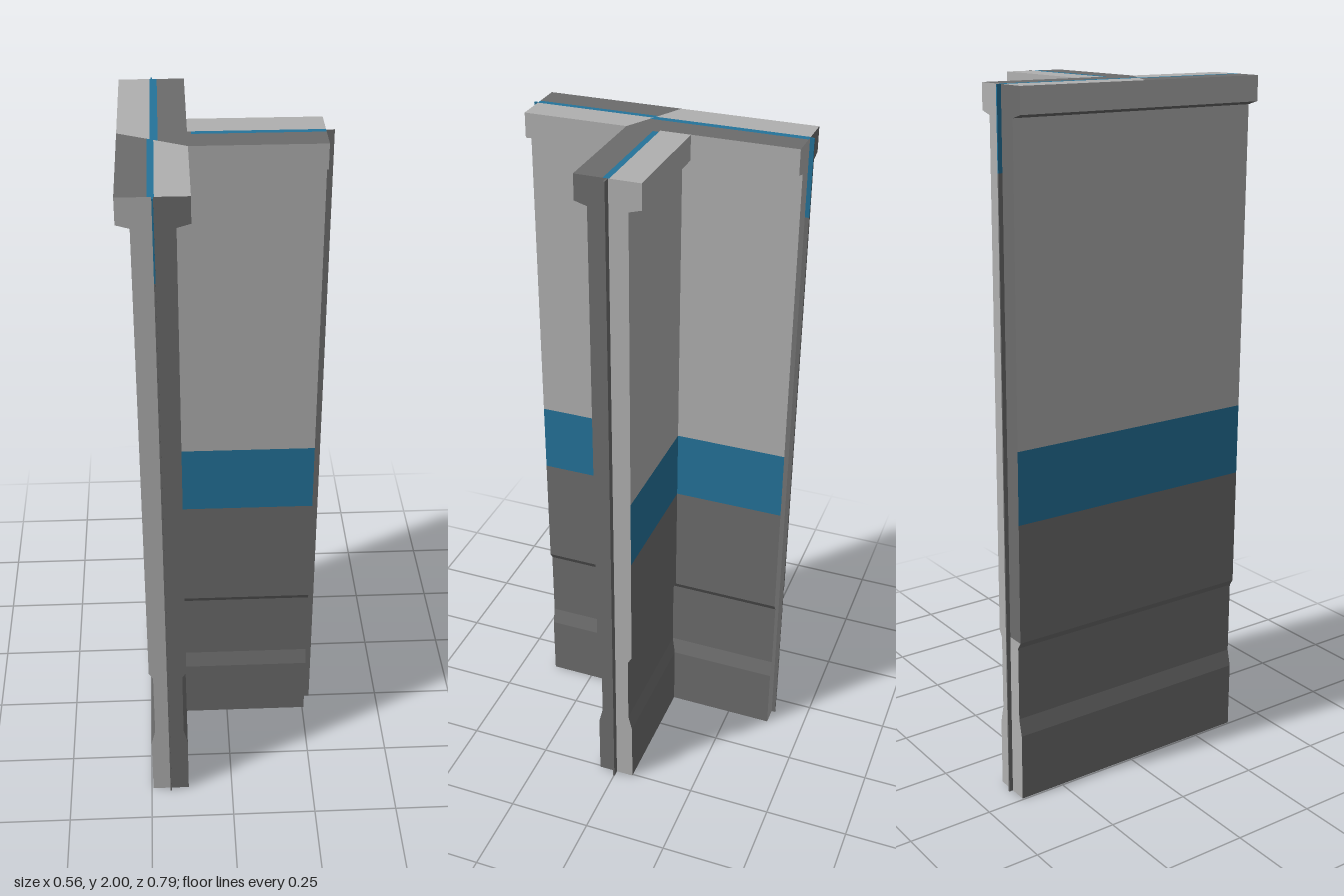
import * as THREE from 'three';

const mat = (name, color) => Object.assign(new THREE.MeshStandardMaterial({ color }), { name });

// Mesh made of separate flat quads, corners counter-clockwise from outside
function quadMesh(name, material, quads) {
  const pos = quads.flatMap(([a, b, c, d]) => [a, b, c, a, c, d].flat());
  const geo = new THREE.BufferGeometry();
  geo.setAttribute('position', new THREE.Float32BufferAttribute(pos, 3));
  geo.computeVertexNormals();
  const mesh = new THREE.Mesh(geo, material);
  mesh.name = name;
  return mesh;
}

export function createModel() {
  const group = new THREE.Group();
  const light = mat('light grey', 0xb0b0b0);
  const dark = mat('dark grey', 0x6c6c6c);
  const blue = mat('stripe blue', 0x24739a);

  const W = -0.19, L = 0.385, E = 0.255; // long wall axis, its half length, branch end

  // T-shaped plan for half thickness h, with a midpoint on each end face
  const plan = (h) => [
    [W - h, -L], [W - h, L], [W, L], [W + h, L], [W + h, h], [E, h],
    [E, 0], [E, -h], [W + h, -h], [W + h, -L], [W, -L],
  ];
  const panelEdges = [0, 3, 4, 7, 8];

  // Wall profile from floor to coping: height, half thickness
  const rows = [
    [0, 0.055], [0.2, 0.055], [0.25, 0.043], [0.47, 0.043], [0.49, 0.055],
    [0.84, 0.055], [1.05, 0.055], [1.92, 0.055], [1.93, 0.09], [2, 0.09],
  ];
  const bands = [
    ['skirting', dark], ['skirtingSlope', dark], ['recess', dark], ['ledge', dark], ['lowerPanel', dark],
    ['stripe', blue], ['upperPanel', light], ['copingUnderside', dark], ['coping', light],
  ];
  const quad = (i, e) => {
    const [y0, h0] = rows[i], [y1, h1] = rows[i + 1];
    const p = plan(h0), q = plan(h1), f = (e + 1) % p.length;
    const v = ([x, z], y) => [x, y, z];
    return [v(p[e], y0), v(p[f], y0), v(q[f], y1), v(q[e], y1)];
  };

  // Panels, band by band
  bands.forEach(([name, m], i) =>
    group.add(quadMesh(name, m, panelEdges.map((e) => quad(i, e)))));

  // End faces, each split in a light and a dark half
  const lightEnds = [], darkEnds = [];
  bands.forEach((_, i) => {
    lightEnds.push(quad(i, 1), quad(i, 6), quad(i, 9));
    darkEnds.push(quad(i, 2), quad(i, 5));
    (i < 4 ? lightEnds : darkEnds).push(quad(i, 10));
  });
  group.add(quadMesh('lightEndFaces', light, lightEnds), quadMesh('darkEndFaces', dark, darkEnds));

  // Coping top: two-tone halves with a blue centre line
  const flat = (y, ...pts) => pts.map(([x, z]) => [x, y, z]);
  const top = (...pts) => flat(2, ...pts);
  const l = W - 0.09, r = W + 0.09;
  group.add(
    quadMesh('copingTopLight', light, [
      top([l, -L], [l, 0], [-0.195, 0.042], [-0.195, -L]),
      top([-0.186, 0.046], [-0.186, L], [r, L], [r, 0.09]),
      top([r, -0.09], [r, -0.005], [E, -0.005], [E, -0.09]),
    ]),
    quadMesh('copingTopDark', dark, [
      top([l, 0], [l, L], [-0.203, L], [-0.203, 0.038]),
      top([-0.175, -L], [-0.175, 0.052], [r, 0.09], [r, -L]),
      top([r, 0.012], [r, 0.09], [E, 0.09], [E, 0.012]),
      top([r, -0.005], [r, 0.012], [-0.09, 0.012], [-0.09, -0.005]),
    ]),
    quadMesh('copingTopLine', blue, [
      top([-0.195, -L], [-0.195, 0.042], [-0.175, 0.052], [-0.175, -L]),
      top([-0.203, 0.038], [-0.203, L], [-0.186, L], [-0.186, 0.046]),
      top([-0.09, -0.005], [-0.09, 0.012], [E, 0.012], [E, -0.005]),
    ]),
  );

  // Underside
  const b = 0.055;
  group.add(quadMesh('underside', dark, [
    flat(0, [W - b, -L], [W + b, -L], [W + b, L], [W - b, L]),
    flat(0, [W + b, -b], [E, -b], [E, b], [W + b, b]),
  ]));

  // Thin joint plates standing out of the three ends
  const plate = (name, m, sx, sz, x, z, y0, y1) => {
    const mesh = new THREE.Mesh(new THREE.BoxGeometry(sx, y1 - y0, sz), m);
    mesh.name = name;
    mesh.position.set(x, (y0 + y1) / 2, z);
    group.add(mesh);
  };
  for (const s of [-1, 1]) {
    plate('jointPlate', dark, 0.004, 0.012, W, s * 0.391, 0, 1.78);
    plate('jointPlateTop', blue, 0.004, 0.012, W, s * 0.391, 1.78, 2);
  }
  plate('branchJointPlate', dark, 0.022, 0.004, 0.266, 0, 0, 2);
  return group;
}
